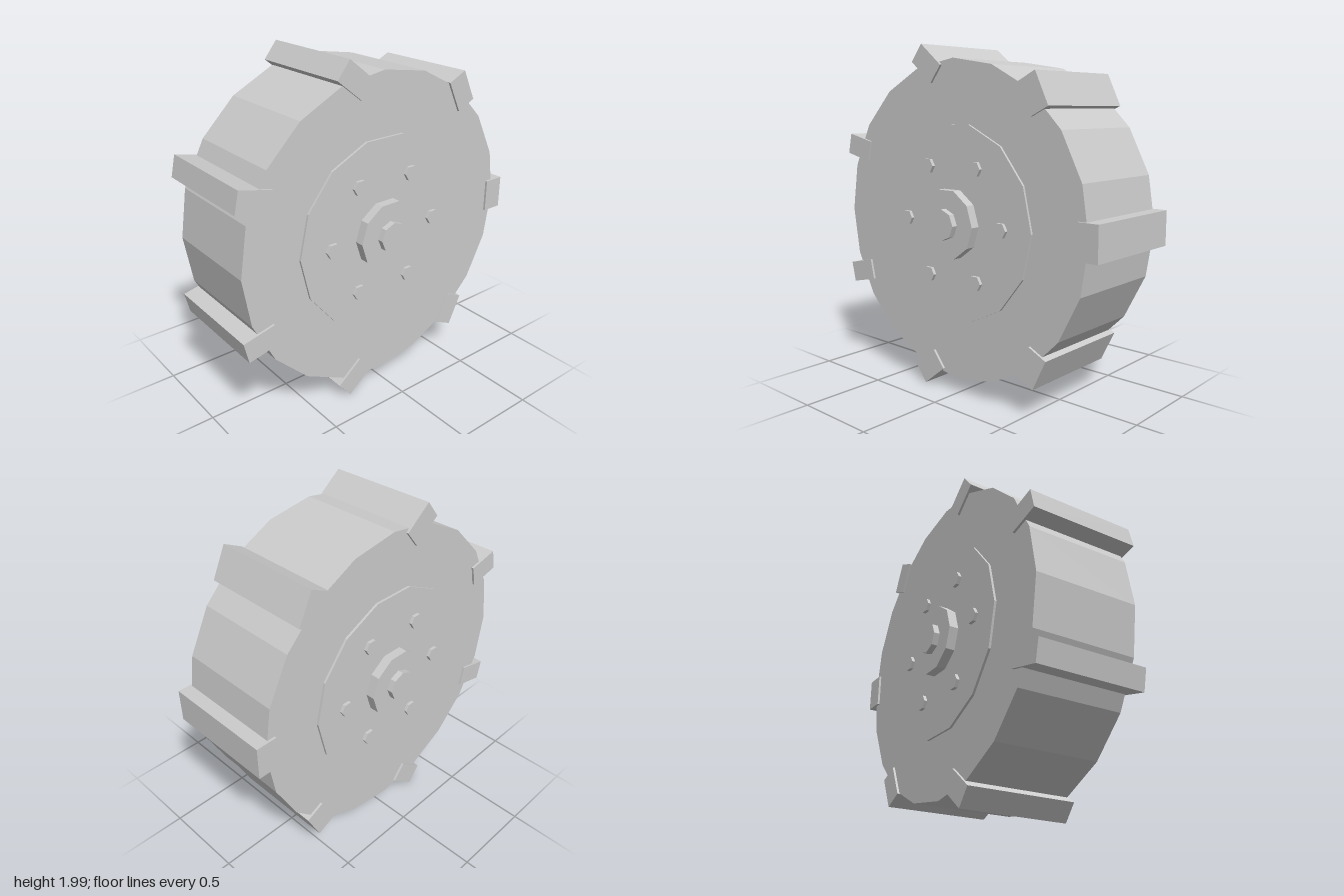
import * as THREE from 'three';

export function createModel() {
  const model = new THREE.Group();
  const wheel = new THREE.Group();
  wheel.name = 'wheel';
  wheel.position.set(0, 1, 0.02);
  model.add(wheel);

  const material = new THREE.MeshStandardMaterial({ color: 0xcccccc, flatShading: true });

  function add(name, geometry, x = 0, y = 0, z = 0) {
    const mesh = new THREE.Mesh(geometry, material);
    mesh.name = name;
    mesh.position.set(x, y, z);
    wheel.add(mesh);
    return mesh;
  }

  // Faceted cylinder lying along x, with a corner facing +z
  const disc = (radius, width, sides) =>
    new THREE.CylinderGeometry(radius, radius, width, sides).rotateZ(Math.PI / 2);

  // Wheel body and the stepped discs that run through it to both sides
  add('tyre', disc(0.91, 0.625, 20));
  add('rimDisc', disc(0.565, 0.652, 14));
  add('hub', disc(0.2, 0.76, 10));
  add('axleCap', disc(0.088, 0.83, 8));

  // Six hexagonal bolts on each side
  const bolt = disc(0.044, 0.04, 6);
  for (const side of [-1, 1]) {
    for (let i = 0; i < 6; i++) {
      const a = (i * Math.PI) / 3;
      add('bolt', bolt, side * 0.325, 0.363 * Math.sin(a), 0.363 * Math.cos(a));
    }
  }

  // Seven tread bars, each turned by half of its angle around the tyre
  const bar = new THREE.BoxGeometry(0.652, 0.195, 0.125);
  for (let i = 0; i < 7; i++) {
    const a = (i * Math.PI * 2) / 7;
    const mesh = add('treadBar', bar, 0, 0.91 * Math.sin(a), -0.91 * Math.cos(a));
    mesh.rotation.x = a / 2;
  }

  return model;
}
